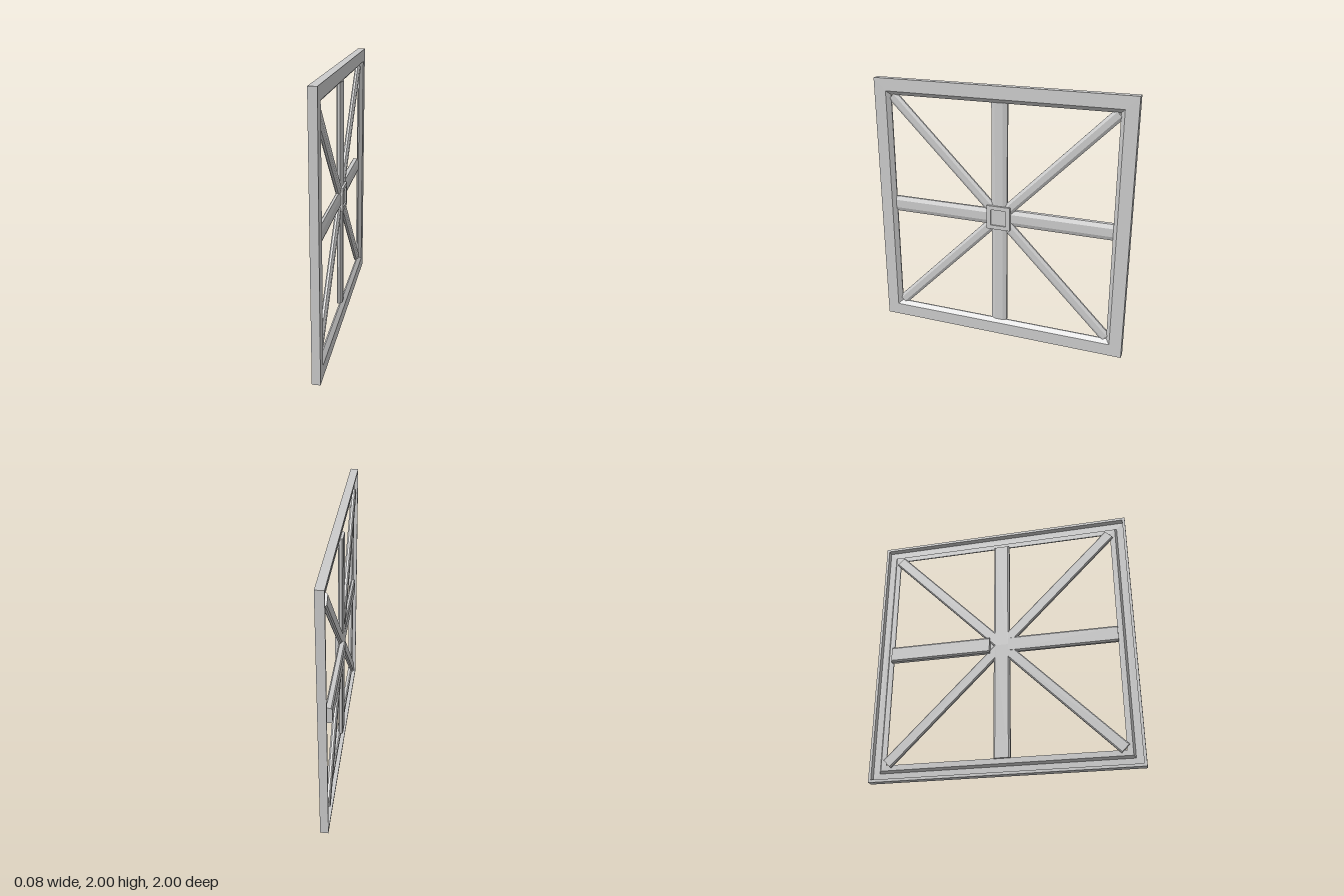
import * as THREE from 'three';

const material = new THREE.MeshStandardMaterial({ color: 0xcccccc, flatShading: true });

// Sweeps a [halfSize, x] profile around a square whose axis is x.
function squareSweep(name, profile) {
  const points = profile.map(([s, x]) => new THREE.Vector2(s * Math.SQRT2, x));
  const geometry = new THREE.LatheGeometry(points, 4, Math.PI / 4);
  geometry.rotateZ(-Math.PI / 2);
  const mesh = new THREE.Mesh(geometry, material);
  mesh.name = name;
  mesh.position.y = 1;
  return mesh;
}

// Flat bar with bevelled edges, running outward from the centre at an angle in the yz plane.
function spoke(name, angle, halfWidth, start, end, back, front) {
  const w = halfWidth;
  const profile = [
    [-w * 0.8, back], [w * 0.8, back], [w, back + 0.009], [w, front - 0.013],
    [w * 0.5, front], [-w * 0.5, front], [-w, front - 0.013], [-w, back + 0.009],
  ];
  const shape = new THREE.Shape(profile.map(([x, y]) => new THREE.Vector2(x, y)));
  const geometry = new THREE.ExtrudeGeometry(shape, { depth: end - start, bevelEnabled: false });
  geometry.translate(0, 0, start);
  geometry.rotateZ(-Math.PI / 2);
  geometry.rotateX(-angle);
  const mesh = new THREE.Mesh(geometry, material);
  mesh.name = name;
  mesh.position.y = 1;
  return mesh;
}

export function createModel() {
  const group = new THREE.Group();
  group.name = 'spokedWindowFrame';

  // Square frame: bevelled inner lip on the +x side, channel on the -x side
  group.add(squareSweep('frame', [
    [1, -0.02], [1, 0.04], [0.905, 0.04], [0.875, 0.012], [0.875, 0.002],
    [0.915, 0.002], [0.93, 0.025], [0.98, 0.025], [0.98, -0.02], [1, -0.02],
  ]));

  // Straight and diagonal spokes; the one toward -z sits proud of the -x face
  for (let i = 0; i < 8; i++) {
    const angle = (i * Math.PI) / 4;
    if (i % 2) group.add(spoke('diagonalSpoke', angle, 0.042, 0, 1.225, -0.017, 0.02));
    else if (i === 4) group.add(spoke('raisedSpoke', angle, 0.062, 0.09, 0.88, -0.042, 0.012));
    else group.add(spoke('straightSpoke', angle, 0.062, 0, 0.878, -0.018, 0.022));
  }

  // Central square boss with a recessed middle
  group.add(squareSweep('hub', [
    [0, 0], [0.093, 0], [0.093, 0.037], [0.062, 0.037], [0.062, 0.026], [0, 0.026],
  ]));

  return group;
}
